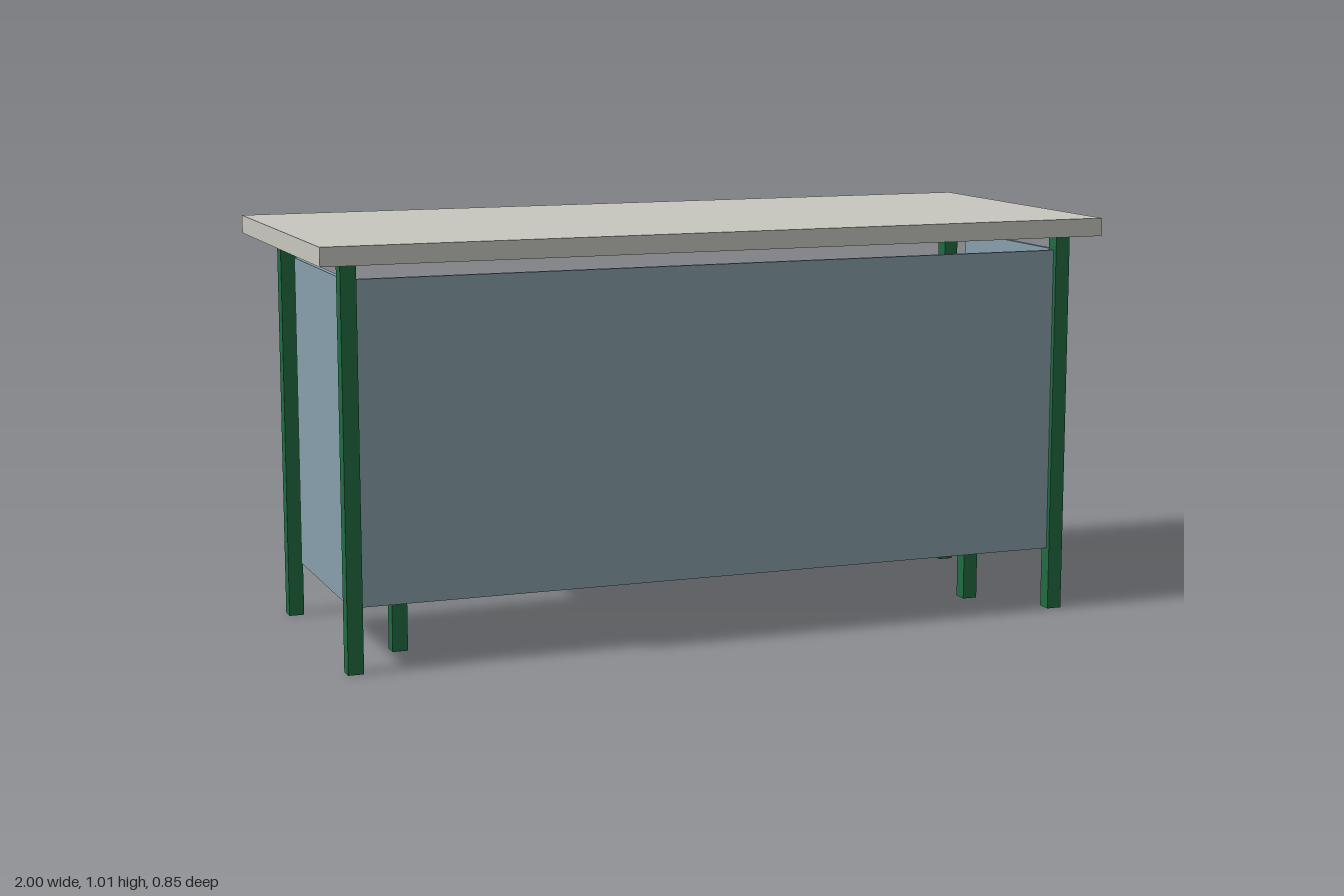
import * as THREE from 'three';

const material = (name, color) => {
  const m = new THREE.MeshStandardMaterial({ color });
  m.name = name;
  return m;
};

export function createModel() {
  const stone = material('paleStone', 0xc8c8c0);
  const green = material('greenPaint', 0x216b41);
  const blue = material('greyBlue', 0x88a0ac);
  const wood = material('brownWood', 0x76553b);

  const desk = new THREE.Group();
  desk.name = 'desk';

  // Box given by its lower and upper corners
  const box = (name, mat, [x0, y0, z0], [x1, y1, z1]) => {
    const mesh = new THREE.Mesh(new THREE.BoxGeometry(x1 - x0, y1 - y0, z1 - z0), mat);
    mesh.position.set((x0 + x1) / 2, (y0 + y1) / 2, (z0 + z1) / 2);
    mesh.name = name;
    desk.add(mesh);
  };

  // Square post standing on the floor
  const w = 0.019;
  const post = (name, x, z, height) =>
    box(name, green, [x - w, 0, z - w], [x + w, height, z + w]);

  const top = 0.965, panelBottom = 0.157, panelTop = 0.926;
  const legX = 0.922, frontZ = 0.348, backZ = -0.269, t = 0.006;

  box('tabletop', stone, [-1, top, -0.423], [1, 1.01, 0.423]);

  // Front panel fits between the front legs
  box('frontPanel', blue,
    [-legX + w, panelBottom, frontZ - t], [legX - w, panelTop, frontZ + t]);

  // Low shelf
  box('shelf', wood, [-0.847, panelBottom, 0.038], [0.847, 0.18, 0.31]);

  // Legs and end panels on both sides
  for (const [side, s] of [['left', 1], ['right', -1]]) {
    post(`${side}FrontLeg`, s * legX, frontZ, top);
    post(`${side}BackLeg`, s * legX, backZ, top);
    post(`${side}ShelfLeg`, s * 0.769, 0.174, panelBottom);
    box(`${side}SidePanel`, blue,
      [s * legX - t, panelBottom, -0.153], [s * legX + t, panelTop, frontZ - w]);
  }
  return desk;
}
